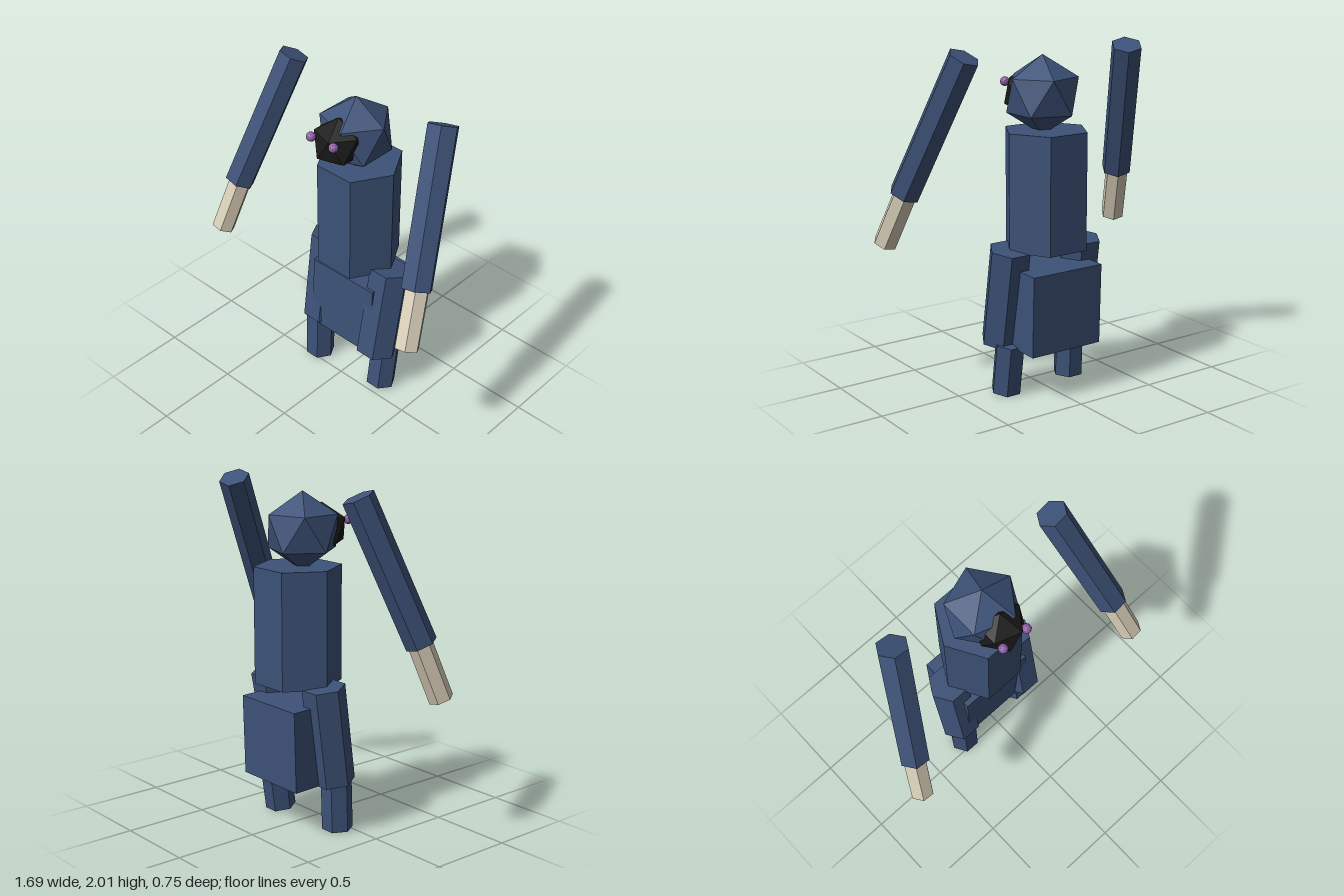
import * as THREE from 'three';

const flat = (name, color) => {
  const m = new THREE.MeshStandardMaterial({ color, flatShading: true });
  m.name = name;
  return m;
};

export function createModel() {
  const blue = flat('blue fur', 0x3d5278);
  const cream = flat('cream hands', 0xd9cfb9);
  const black = flat('black face', 0x1a1a1a);
  const purple = flat('purple eyes', 0x9160a8);
  const group = new THREE.Group();

  const add = (name, geometry, material, pos = [0, 0, 0]) => {
    const mesh = new THREE.Mesh(geometry, material);
    mesh.name = name;
    mesh.position.set(...pos);
    group.add(mesh);
    return mesh;
  };

  // Hexagonal prism between two points, with corners toward +x and -x
  const prism = (name, material, radius, top, bottom) => {
    const a = new THREE.Vector3(...bottom), b = new THREE.Vector3(...top);
    const axis = b.clone().sub(a);
    const geo = new THREE.CylinderGeometry(radius, radius, axis.length(), 6).rotateY(Math.PI / 2);
    const mesh = add(name, geo, material, a.add(b).multiplyScalar(0.5).toArray());
    mesh.quaternion.setFromUnitVectors(new THREE.Vector3(0, 1, 0), axis.normalize());
  };

  // Icosahedron standing on a corner, upper ring pointing to +x
  const gem = (radius) => new THREE.IcosahedronGeometry(radius, 0)
    .rotateX(-Math.atan((1 + Math.sqrt(5)) / 2)).rotateY(Math.PI / 2);

  // Body
  prism('torso', blue, 0.25, [0, 1.525, -0.155], [0, 0.853, -0.155]);
  add('hips', new THREE.BoxGeometry(0.47, 0.47, 0.365), blue, [0.003, 0.526, -0.187]).rotation.x = -0.025;

  // Head, face and eyes
  add('head', gem(0.225), blue, [0, 1.715, -0.12]);
  add('face', gem(0.151), black, [0, 1.715, 0.018]);
  add('rightEye', new THREE.IcosahedronGeometry(0.028, 1), purple, [-0.09, 1.765, 0.14]);
  add('leftEye', new THREE.IcosahedronGeometry(0.028, 1), purple, [0.075, 1.765, 0.14]);

  // Raised arms and hands
  prism('leftArm', blue, 0.09, [0.55, 1.968, -0.182], [0.718, 1.187, 0.185]);
  prism('leftHand', cream, 0.07, [0.713, 1.21, 0.168], [0.775, 0.885, 0.318]);
  prism('rightArm', blue, 0.09, [-0.54, 1.962, -0.192], [-0.722, 1.166, 0.108]);
  prism('rightHand', cream, 0.07, [-0.717, 1.19, 0.092], [-0.78, 0.853, 0.21]);

  // Legs
  prism('leftThigh', blue, 0.124, [0.243, 0.872, -0.156], [0.238, 0.305, -0.055]);
  prism('leftShin', blue, 0.09, [0.24, 0.315, -0.144], [0.24, 0.015, -0.1]);
  prism('rightThigh', blue, 0.124, [-0.235, 0.872, -0.167], [-0.235, 0.302, -0.09]);
  prism('rightShin', blue, 0.09, [-0.235, 0.32, -0.071], [-0.235, 0.007, -0.06]);

  return group;
}
